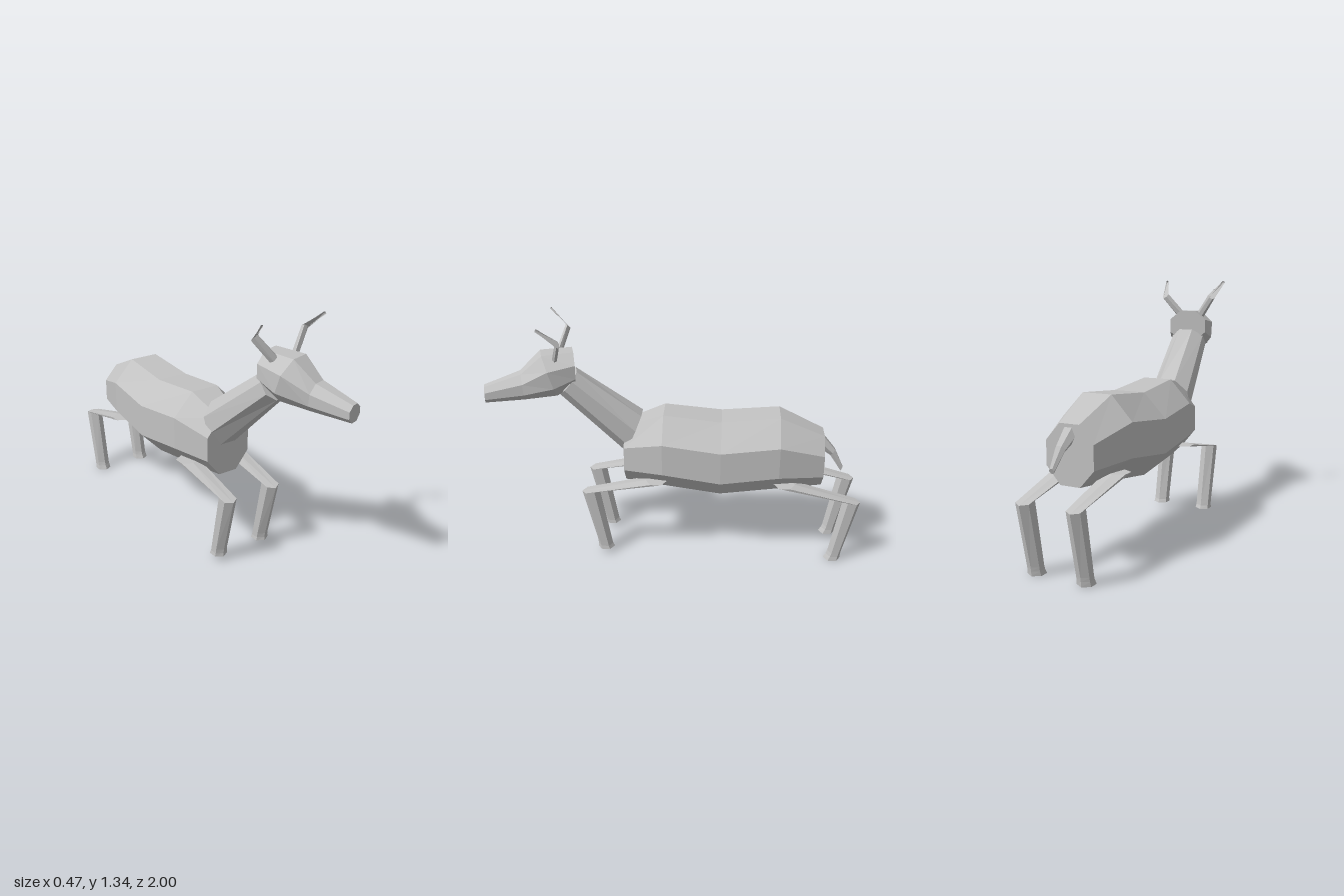
import * as THREE from 'three';

const coat = new THREE.MeshStandardMaterial({ color: 0xc2c2c2 });
coat.name = 'greyCoat';

// Skins rings of the form [centre, sideways half-axis, upward half-axis]
// with a regular n-sided section and closes both ends. Faces stay flat.
function loft(name, n, phase, rings) {
  const grow = n === 8 ? 1 / Math.cos(Math.PI / 8) : 1;
  const points = rings.map(([c, u, v]) => Array.from({ length: n }, (_, k) => {
    const a = phase + (k / n) * Math.PI * 2;
    return new THREE.Vector3(...c)
      .addScaledVector(new THREE.Vector3(...u), Math.cos(a) * grow)
      .addScaledVector(new THREE.Vector3(...v), Math.sin(a) * grow);
  }));
  const tris = [];
  for (let r = 0; r < points.length - 1; r++) {
    for (let k = 0; k < n; k++) {
      const j = (k + 1) % n, A = points[r], B = points[r + 1];
      tris.push([A[k], A[j], B[j]], [A[k], B[j], B[k]]);
    }
  }
  const first = points[0], last = points[points.length - 1];
  for (let k = 1; k < n - 1; k++) {
    tris.push([first[0], first[k + 1], first[k]], [last[0], last[k], last[k + 1]]);
  }
  // Turn the skin outward whichever way the rings run
  const origin = first[0].clone(), cross = new THREE.Vector3();
  let volume = 0;
  for (const [a, b, c] of tris) {
    cross.crossVectors(b.clone().sub(origin), c.clone().sub(origin));
    volume += a.clone().sub(origin).dot(cross);
  }
  if (volume < 0) tris.forEach((t) => t.reverse());
  const geometry = new THREE.BufferGeometry().setFromPoints(tris.flat());
  geometry.computeVertexNormals();
  const mesh = new THREE.Mesh(geometry, coat);
  mesh.name = name;
  return mesh;
}

const OCT = Math.PI / 8;
const MID = -0.026;

function makeLeg(name, x, hind) {
  // Hip, knee, ankle and hoof rings: z, y, half width, half depth, tilt of the depth axis
  const rings = hind
    ? [[-0.585, 0.456, 0.054, 0.058, 0], [-0.951, 0.367, 0.038, 0.047, 0.008],
       [-0.885, 0.045, 0.036, 0.038, 0], [-0.88, 0.025, 0.036, 0.04, 0],
       [-0.872, 0, 0.039, 0.046, 0]]
    : [[0.105, 0.456, 0.054, 0.058, 0], [0.466, 0.386, 0.038, 0.048, -0.008],
       [0.4, 0.07, 0.036, 0.04, 0], [0.396, 0.045, 0.036, 0.041, 0],
       [0.392, 0.026, 0.039, 0.047, 0]];
  return loft(name, 6, Math.PI / 2, rings.map(([z, y, w, d, tilt]) =>
    [[x, y, z], [w / Math.cos(Math.PI / 6), 0, 0], [0, tilt, d]]));
}

export function createModel() {
  const model = new THREE.Group();
  model.name = 'hornedAnimal';

  // Barrel-shaped body: z, centre y, half width, half height
  const body = [[0.28, 0.575, 0.13, 0.16], [0.07, 0.608, 0.195, 0.21], [-0.24, 0.573, 0.21, 0.215],
    [-0.55, 0.608, 0.195, 0.21], [-0.79, 0.563, 0.13, 0.147]];
  model.add(loft('body', 8, OCT, body.map(([z, y, w, h]) =>
    [[MID, y, z], [w, 0, 0], [0, h, 0]])));

  // Neck
  model.add(loft('neck', 8, OCT, [
    [[MID, 0.69, 0.235], [0.11, 0, 0], [0, 0.105, -0.045]],
    [[0.025, 0.995, 0.575], [0.088, 0, -0.02], [0, 0.06, -0.05]],
  ]));

  // Head, turned a little to its left: centre, half width, half height, tilt
  const head = [[[0.02, 1.076, 0.54], 0.105, 0.088, 0], [[0.053, 1.046, 0.665], 0.123, 0.111, 0.035],
    [[0.092, 0.99, 0.8], 0.077, 0.07, 0.005], [[0.142, 0.957, 0.988], 0.046, 0.043, 0]];
  const yaw = 0.26;
  model.add(loft('head', 8, OCT, head.map(([c, w, h, tilt]) =>
    [c, [w * Math.cos(yaw), 0, -w * Math.sin(yaw)],
      [tilt * Math.sin(yaw), h, tilt * Math.cos(yaw)]])));

  // Bent horns
  for (const s of [-1, 1]) {
    const cx = 0.038;
    model.add(loft(s > 0 ? 'leftHorn' : 'rightHorn', 6, 0, [
      [[cx + s * 0.05, 1.12, 0.625], [0.02, s * -0.014, 0], [0, 0.004, 0.015]],
      [[cx + s * 0.151, 1.248, 0.582], [0.02, s * -0.01, 0], [0, 0.011, 0.011]],
      [[cx + s * 0.188, 1.332, 0.676], [0.007, s * -0.003, 0], [0, 0.005, -0.004]],
    ]));
  }

  // Legs
  for (const s of [-1, 1]) {
    const side = s > 0 ? 'left' : 'right';
    model.add(makeLeg(side + 'FrontLeg', MID + s * 0.137, false));
    model.add(makeLeg(side + 'HindLeg', MID + s * 0.137, true));
  }

  // Short hanging tail
  model.add(loft('tail', 6, 0, [
    [[-0.02, 0.66, -0.78], [0.04, 0, 0], [0, 0.04, -0.01]],
    [[-0.012, 0.602, -0.842], [0.029, 0, 0], [0, 0.018, -0.014]],
    [[0, 0.508, -0.897], [0.014, 0, 0], [0, 0.014, -0.006]],
  ]));

  return model;
}
